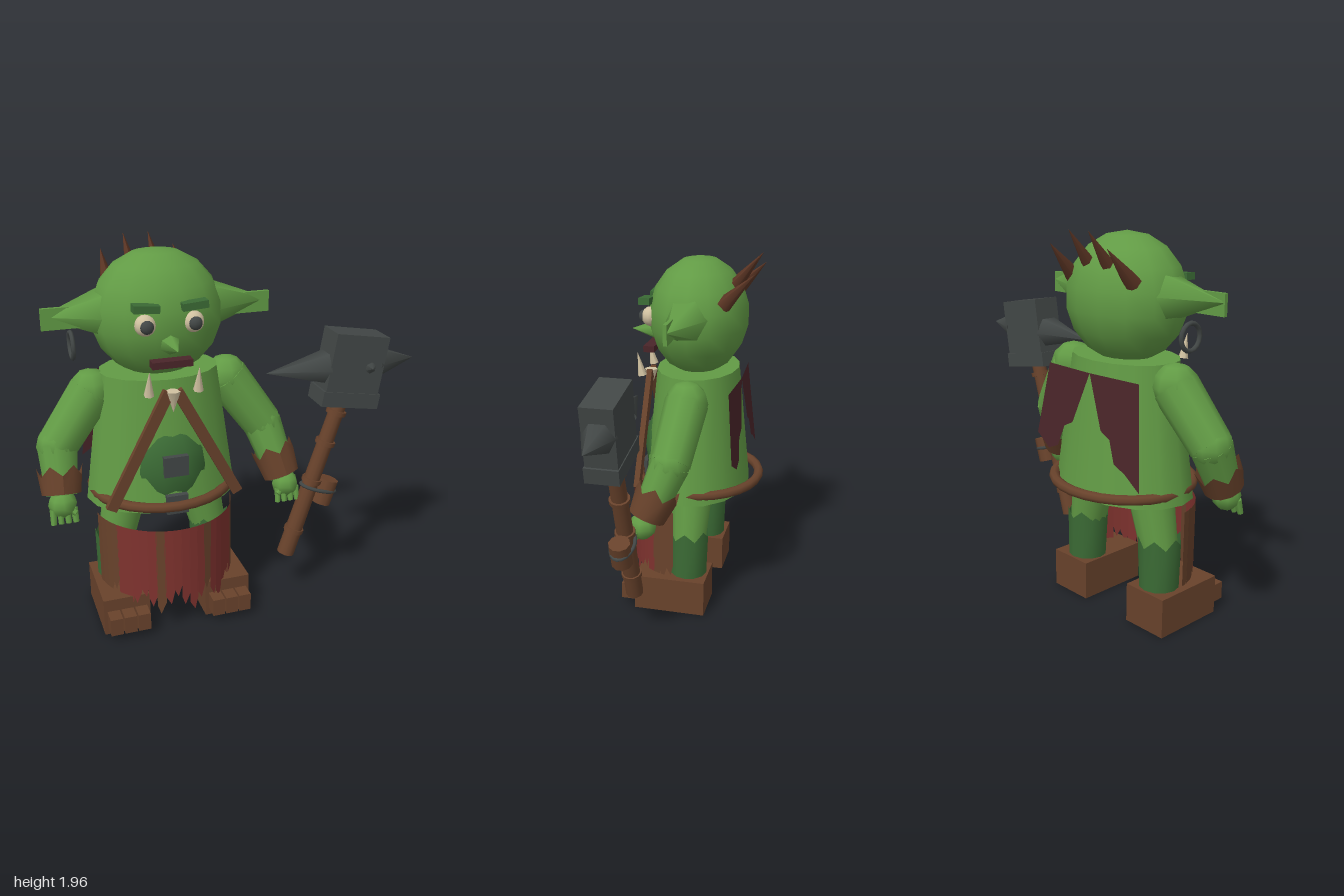
import * as THREE from 'three';

const V = (x, y, z) => new THREE.Vector3(x, y, z);
const UP = V(0, 1, 0);

export function createModel() {
  const root = new THREE.Group();
  root.name = 'goblinWarrior';
  const mat = (name, color, extra = {}) =>
    Object.assign(new THREE.MeshStandardMaterial({ color, ...extra }), { name });
  const two = { side: THREE.DoubleSide };
  const skin = mat('skin green', 0x629b45);
  const dark = mat('dark green', 0x3b6b35, two);
  const brown = mat('leather brown', 0x68422b, two);
  const red = mat('cloth red', 0x7e322e, two);
  const maroon = mat('dark maroon', 0x4a2529, two);
  const iron = mat('iron grey', 0x424746);
  const bone = mat('bone', 0xd0c1a0);
  const horn = mat('horn brown', 0x5a3423);

  const body = new THREE.Group();
  body.name = 'body';
  body.position.x = -0.34;
  root.add(body);

  const add = (parent, name, geo, material, p = [0, 0, 0], r = [0, 0, 0], s = [1, 1, 1]) => {
    const m = new THREE.Mesh(geo, material);
    m.name = name;
    m.position.set(...p);
    m.rotation.set(...r);
    m.scale.set(...s);
    parent.add(m);
    return m;
  };
  const box = (w, h, d) => new THREE.BoxGeometry(w, h, d);
  const ball = (r, a = 10, b = 7) => new THREE.SphereGeometry(r, a, b);
  // Tapered cylinder from point a (radius ra) to point b (radius rb)
  const limb = (parent, name, a, b, ra, rb, material, sides = 10) => {
    const d = b.clone().sub(a);
    const m = add(parent, name, new THREE.CylinderGeometry(rb, ra, d.length(), sides), material);
    m.position.copy(a).addScaledVector(d, 0.5);
    m.quaternion.setFromUnitVectors(UP, d.normalize());
    return m;
  };
  // Open sleeve whose upper rim is cut in zigzags
  const sleeve = (parent, name, a, b, ra, rb, cut, material) => {
    const m = limb(parent, name, a, b, ra, rb, material, 12);
    const h = a.distanceTo(b);
    m.geometry = new THREE.CylinderGeometry(rb, ra, h, 12, 1, true);
    const pos = m.geometry.attributes.position;
    for (let i = 0; i < 13; i += 2) pos.setY(i, h / 2 - cut);
    m.geometry.computeVertexNormals();
    return m;
  };
  const plate = (pts) => new THREE.ShapeGeometry(new THREE.Shape(pts.map(p => new THREE.Vector2(...p))));

  // Torso, belly and belt
  add(body, 'torso', new THREE.CylinderGeometry(0.305, 0.4, 0.68, 16), skin, [0, 1.01, -0.005], [0, 0, 0], [1, 1, 0.73]);
  add(body, 'belly', ball(1, 10, 8), dark, [0, 0.88, 0.16], [0, 0, 0], [0.205, 0.25, 0.135]);
  add(body, 'bellyPlate', box(0.125, 0.105, 0.05), iron, [0, 0.925, 0.283]);
  add(body, 'beltBuckle', box(0.11, 0.1, 0.03), iron, [0, 0.72, 0.3]);
  add(body, 'belt', new THREE.TorusGeometry(0.342, 0.026, 8, 28), brown, [0, 0.72, -0.01], [Math.PI / 2, 0, 0], [1.06, 1, 1]);

  // Crossed chest straps and pendant
  for (const s of [-1, 1]) {
    add(body, 'chestStrap', box(0.055, 0.66, 0.03), brown, [s * 0.175, 1.015, 0.267], [0, 0, s * 0.485]);
  }
  add(body, 'toothPendant', new THREE.ConeGeometry(0.038, 0.11, 6), bone, [0, 1.255, 0.27], [Math.PI, 0, 0]);

  // Torn cape on the back
  for (const s of [-1, 1]) {
    const g = plate([[0, 1.29], [0.31, 1.29], [0.37, s > 0 ? 0.92 : 0.79], [0.27, 0.86], [0.2, 0.89], [0.16, 1.0], [0.1, 1.03]]);
    const p = g.attributes.position;
    for (let i = 0; i < p.count; i++) {
      const x = p.getX(i), y = p.getY(i);
      p.setXYZ(i, x * s, y, -0.245 - (1.29 - y) * 0.1 + x * 0.05);
    }
    g.computeVertexNormals();
    add(body, 'capePanel', g, maroon);
  }

  // Head
  add(body, 'head', ball(1, 14, 9), skin, [0, 1.63, -0.005], [0, 0, 0], [0.33, 0.318, 0.268]);
  add(body, 'nose', new THREE.ConeGeometry(0.06, 0.16, 6), skin, [0, 1.535, 0.295], [Math.PI / 2, 0, 0]);
  add(body, 'mouth', box(0.2, 0.034, 0.06), maroon, [0, 1.447, 0.255]);
  for (const s of [-1, 1]) {
    add(body, 'eyeWhite', ball(0.052, 12, 8), bone, [s * 0.117, 1.635, 0.237], [0, 0, 0], [1, 1, 0.9]);
    add(body, 'pupil', ball(0.033, 10, 8), iron, [s * 0.117, 1.635, 0.275], [0, 0, 0], [1, 1, 0.75]);
    add(body, 'eyebrow', box(0.125, 0.036, 0.06), dark, [s * 0.117, 1.72, 0.255], [0, 0, s * 0.08]);
    add(body, 'tusk', new THREE.ConeGeometry(0.026, 0.13, 6), bone, [s * 0.122, 1.37, 0.298], [0.2, 0, 0]);
    // Ears: a cone with a flat flap
    limb(body, 'ear', V(s * 0.26, 1.655, 0), V(s * 0.57, 1.66, 0.035), 0.125, 0.002, skin, 6);
    add(body, 'earFlap', box(0.24, 0.105, 0.02), skin, [s * 0.45, 1.65, 0.04]);
  }
  add(body, 'earring', new THREE.TorusGeometry(0.064, 0.012, 6, 16), iron, [-0.425, 1.495, -0.02], [0, Math.PI / 2, 0]);

  // Row of spikes across the back of the head
  for (const [x0, x1, y] of [[-0.2, -0.2, -0.07], [-0.07, -0.08, 0], [0.06, 0.05, 0], [0.2, 0.18, -0.07]]) {
    limb(body, 'headSpike', V(x0, 1.76 + y * 0.5, -0.165), V(x1, 1.96 + y, -0.33), 0.045, 0.001, horn, 6);
  }

  // Legs, torn leggings, boots and toes
  for (const s of [-1, 1]) {
    limb(body, 'upperLeg', V(s * 0.19, 0.72, -0.015), V(s * 0.26, 0.4, -0.01), 0.12, 0.095, skin, 12);
    sleeve(body, 'legging', V(s * 0.265, 0.19, -0.01), V(s * 0.26, 0.48, -0.01), 0.102, 0.11, 0.05, dark);
    add(body, 'boot', box(0.245, 0.205, 0.4), brown, [s * 0.275, 0.1025, 0.075]);
    for (let i = -1; i <= 1; i++) {
      add(body, 'bootToe', box(0.064, 0.095, 0.1), brown, [s * 0.275 + i * 0.073, 0.09, 0.307]);
    }
  }

  // Ragged loincloth made of hanging strips around the front
  const strips = 24, arc = 1.41, R = 0.366;
  for (let i = 0; i < strips; i++) {
    const a = -arc + (i + 0.5) * 2 * arc / strips;
    const w = R * arc / strips + 0.002;
    const low = 0.215 + 0.05 * Math.sin(i * 4.7), tip = low - 0.05;
    const material = (i < 4 || i > 20 || i % 6 === 3) ? brown : red;
    add(body, 'loinclothStrip', plate([[-w, 0.605], [-w, low], [w * 0.3 * Math.sin(i * 2), tip], [w, low + 0.02], [w, 0.605]]),
      material, [R * Math.sin(a), 0, R * Math.cos(a)], [0, a, 0]);
  }

  // Arms with shoulder, cuff, hand and fingers
  const arms = [
    { name: 'rightArm', pts: [V(-0.685, 1.25, -0.02), V(-0.875, 1.0, 0.02), V(-0.885, 0.77, 0.12)], out: -1 },
    { name: 'leftArm', pts: [V(0.025, 1.25, -0.02), V(0.215, 0.98, 0.02), V(0.295, 0.7, 0.13)], out: 1 },
  ];
  for (const { name, pts: [sh, el, wr], out } of arms) {
    const arm = new THREE.Group();
    arm.name = name;
    root.add(arm);
    const dir = wr.clone().sub(el).normalize();
    const at = (t) => el.clone().lerp(wr, t);
    add(arm, 'shoulder', ball(0.115, 8, 6), skin, sh.toArray());
    limb(arm, 'upperArm', sh, el, 0.115, 0.105, skin);
    add(arm, 'elbow', ball(0.106, 10, 6), skin, el.toArray());
    limb(arm, 'forearm', el, wr, 0.104, 0.08, skin);
    sleeve(arm, 'cuff', at(0.98), at(0.42), 0.098, 0.115, 0.05, brown);
    const palm = wr.clone().addScaledVector(dir, 0.045);
    add(arm, 'palm', ball(0.072, 8, 6), skin, palm.toArray());
    for (let i = 0; i < 4; i++) {
      const k = palm.clone().add(V((i - 1.5) * 0.034, -0.015, 0.025));
      limb(arm, 'finger', k, k.clone().add(V((i - 1.5) * 0.003, -0.072, 0.02)), 0.019, 0.015, skin, 6);
    }
    limb(arm, 'thumb', palm, palm.clone().add(V(-out * 0.06, -0.04, 0.045)), 0.024, 0.016, skin, 6);
  }

  // War hammer
  const hammer = new THREE.Group();
  hammer.name = 'hammer';
  root.add(hammer);
  const h0 = V(0.3, 0.255, 0.2), h1 = V(0.605, 1.18, 0.2);
  limb(hammer, 'handle', h0, h1, 0.047, 0.04, brown, 12);
  const tilt = -Math.atan2(h1.x - h0.x, h1.y - h0.y);
  for (const t of [0.15, 0.46, 0.69, 0.87]) {
    const p = h0.clone().lerp(h1, t);
    add(hammer, 'handleBand', new THREE.CylinderGeometry(0.054, 0.054, 0.024, 12), brown, p.toArray(), [0, 0, tilt]);
  }
  add(hammer, 'sidePeg', new THREE.CylinderGeometry(0.056, 0.056, 0.14, 10), brown, [0.52, 0.605, 0.2], [0, 0, tilt]);
  add(hammer, 'pegBinding', new THREE.TorusGeometry(0.058, 0.01, 6, 18), iron, [0.48, 0.63, 0.2], [Math.PI / 2, tilt, 0], [1.7, 1, 1]);
  const head = new THREE.Group();
  head.name = 'hammerHead';
  head.position.set(0.635, 1.325, 0.2);
  head.rotation.z = -0.165;
  hammer.add(head);
  add(head, 'headBlock', box(0.3, 0.31, 0.16), iron, [0, 0.01, 0]);
  add(head, 'headCollar', box(0.325, 0.08, 0.17), iron, [0, -0.18, 0]);
  add(head, 'frontStud', new THREE.ConeGeometry(0.04, 0.03, 6), iron, [0.075, 0.0, 0.088], [Math.PI / 2, 0, 0]);
  limb(hammer, 'leftSpike', V(0.77, 1.32, 0.2), V(0.995, 1.317, 0.2), 0.088, 0.001, iron, 6);
  limb(hammer, 'rightSpike', V(0.49, 1.32, 0.2), V(0.165, 1.317, 0.2), 0.09, 0.001, iron, 6);

  return root;
}
